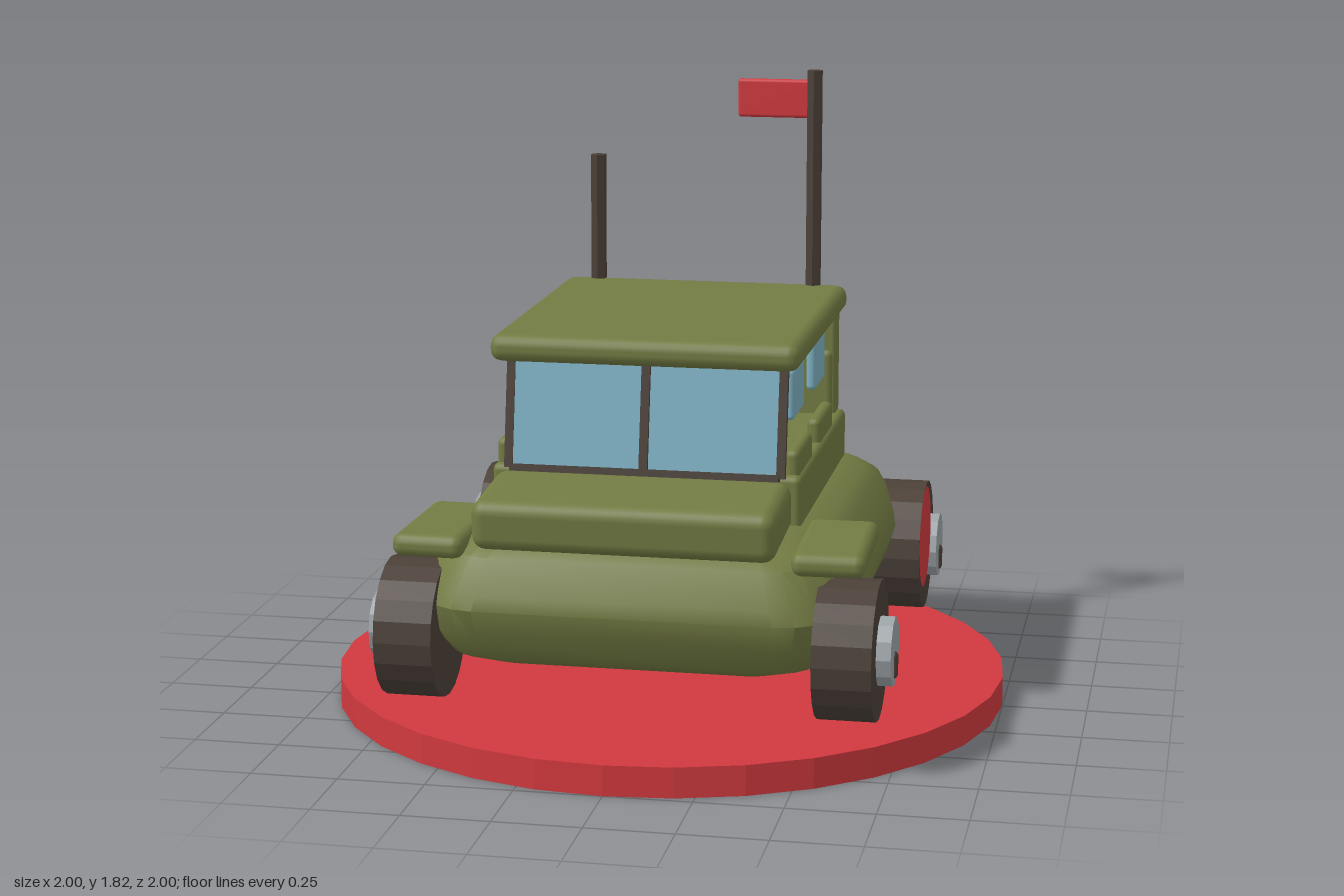
import * as THREE from 'three';
import { toCreasedNormals } from 'three/addons/utils/BufferGeometryUtils.js';
import { RoundedBoxGeometry } from 'three/addons/geometries/RoundedBoxGeometry.js';

function material(name, color) {
  const m = new THREE.MeshStandardMaterial({ color });
  m.name = name;
  return m;
}

// Closed body from rounded-rectangle rings [y, halfX, halfZ, cornerX, cornerZ]
function loftRings(rings, steps = 5) {
  const pos = [], index = [];
  const n = 4 * (steps + 1);
  const signs = [[1, 1], [-1, 1], [-1, -1], [1, -1]];
  for (const [y, hx, hz, rx, rz] of rings) {
    signs.forEach(([sx, sz], q) => {
      for (let k = 0; k <= steps; k++) {
        const a = (q + k / steps) * Math.PI / 2;
        pos.push(sx * (hx - rx) + rx * Math.cos(a), y, sz * (hz - rz) + rz * Math.sin(a));
      }
    });
  }
  const last = (rings.length - 1) * n;
  pos.push(0, rings[0][0], 0, 0, rings[rings.length - 1][0], 0);
  const bottom = last + n, top = bottom + 1;
  for (let i = 0; i < n; i++) {
    const j = (i + 1) % n;
    for (let r = 0; r < last; r += n) {
      index.push(r + i, r + n + i, r + n + j, r + i, r + n + j, r + j);
    }
    index.push(bottom, i, j, top, last + j, last + i);
  }
  const g = new THREE.BufferGeometry();
  g.setAttribute('position', new THREE.Float32BufferAttribute(pos, 3));
  g.setIndex(index);
  return toCreasedNormals(g, 0.6);
}

export function createModel() {
  const model = new THREE.Group();
  model.name = 'toyTruck';
  const olive = material('olive', 0x737b43);
  const red = material('red', 0xd0393e);
  const dark = material('darkRubber', 0x4b4038);
  const grey = material('hubGrey', 0x9da4a8);
  const blue = material('glassBlue', 0x7db0c2);
  const redSheet = material('redDisc', 0xd0393e);
  redSheet.side = THREE.DoubleSide;

  function add(name, geometry, mat, x = 0, y = 0, z = 0, parent = model) {
    const mesh = new THREE.Mesh(geometry, mat);
    mesh.name = name;
    mesh.position.set(x, y, z);
    parent.add(mesh);
    return mesh;
  }
  const roundBox = (w, h, d, r, s = 2) => new RoundedBoxGeometry(w, h, d, s, r);
  const prism = (r, h, sides) =>
    toCreasedNormals(new THREE.CylinderGeometry(r, r, h, sides), 0.1);

  // Display base
  add('base', prism(1, 0.088, 32), red, 0, 0.044, 0);

  // Hull with sloping shoulders and underside
  add('hull', loftRings([
    [0.24, 0.43, 0.61, 0.1, 0.1],
    [0.275, 0.53, 0.69, 0.13, 0.15],
    [0.35, 0.6, 0.74, 0.18, 0.22],
    [0.43, 0.625, 0.762, 0.2, 0.26],
    [0.47, 0.615, 0.75, 0.2, 0.26],
    [0.57, 0.56, 0.7, 0.17, 0.2],
    [0.605, 0.51, 0.64, 0.14, 0.16],
    [0.628, 0.44, 0.56, 0.1, 0.1],
  ]), olive);

  // Hood, tilted down toward the front
  add('hood', roundBox(0.86, 0.145, 0.335, 0.04, 3), olive, 0, 0.682, 0.583).rotation.x = 0.075;

  // Cabin
  add('cabinTub', roundBox(0.9, 0.16, 0.94, 0.02), olive, 0, 0.69, -0.067);
  add('rearWall', roundBox(0.84, 0.36, 0.08, 0.02), olive, 0, 0.79, -0.475);
  add('roof', roundBox(0.895, 0.08, 1.02, 0.035), olive, 0, 1.115, -0.066);

  // Sloping windscreen with a centre bar
  const screen = new THREE.Group();
  screen.name = 'windscreen';
  screen.position.set(0, 0.92, 0.39);
  screen.rotation.x = -0.17;
  model.add(screen);
  add('windscreenGlass', new THREE.BoxGeometry(0.78, 0.31, 0.025), blue, 0, 0, 0, screen);
  add('windscreenBar', new THREE.BoxGeometry(0.025, 0.31, 0.04), dark, 0, 0, 0.005, screen);
  add('windscreenSill', new THREE.BoxGeometry(0.78, 0.02, 0.04), dark, 0, -0.155, 0.005, screen);

  for (const s of [1, -1]) {
    const side = s > 0 ? 'left' : 'right';
    add(side + 'RearPost', roundBox(0.045, 0.46, 0.09, 0.012), olive, s * 0.405, 0.86, -0.492);
    add(side + 'WindscreenPost', new THREE.BoxGeometry(0.025, 0.31, 0.02), dark,
      s * 0.395, 0.92, 0.395).rotation.x = -0.17;

    // Side windows and door tops
    for (const z of [0.245, -0.175]) {
      add(side + 'Window', roundBox(0.03, 0.15, 0.195, 0.014), blue, s * 0.405, 0.993, z);
      add(side + 'DoorTop', roundBox(0.04, 0.1, 0.272, 0.018), olive, s * 0.42, 0.79, z);
    }

    // Front fender
    add(side + 'Fender', roundBox(0.208, 0.068, 0.425, 0.03), olive, s * 0.563, 0.591, 0.488)
      .rotation.y = s * 0.03;

    // Wheels with hubs and a small lug
    for (const z of [0.587, -0.587]) {
      const wheel = new THREE.Group();
      wheel.name = side + (z > 0 ? 'FrontWheel' : 'RearWheel');
      wheel.position.set(s * 0.62, 0.33, z);
      model.add(wheel);
      add('tyre', prism(0.2, 0.167, 20), dark, 0, 0, 0, wheel).rotation.z = Math.PI / 2;
      add('hub', prism(0.1, 0.05, 12), grey, s * 0.1, 0, 0, wheel).rotation.z = Math.PI / 2;
      add('lug', roundBox(0.035, 0.078, 0.03, 0.012), dark, s * 0.117, -0.039, 0, wheel);
    }
  }

  // Antennas and flag
  add('tallPole', prism(0.025, 0.88, 6), dark, 0.342, 1.38, -0.543);
  add('shortPole', prism(0.025, 0.605, 6), dark, -0.337, 1.2425, -0.543);
  add('flag', roundBox(0.225, 0.118, 0.022, 0.01), red, 0.217, 1.732, -0.543);

  // Round marker plate on the left side
  add('sideDisc', new THREE.CircleGeometry(0.15, 32), redSheet, 0.75, 0.48, -0.112)
    .rotation.y = Math.PI / 2;

  return model;
}
